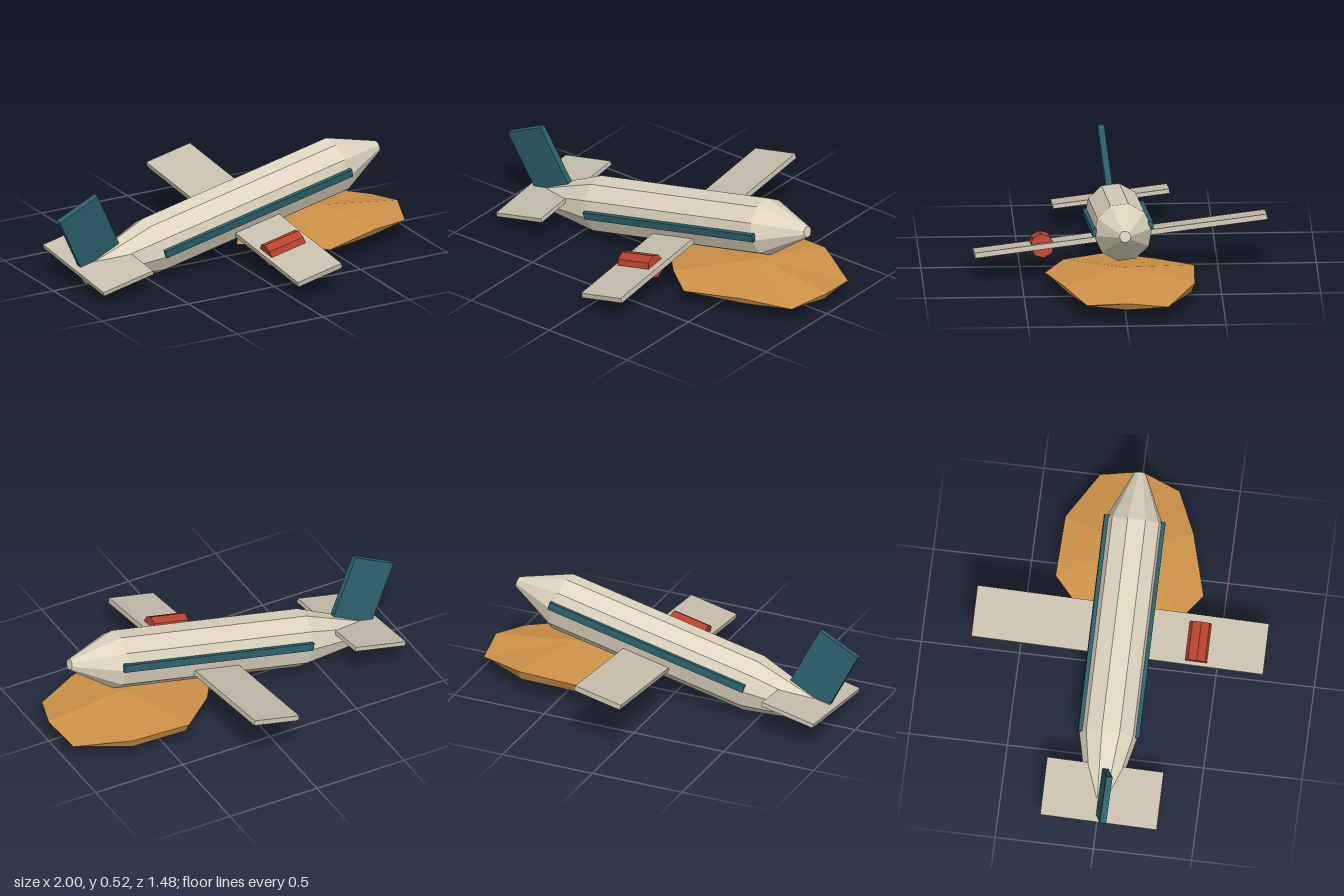
import * as THREE from 'three';

const mat = (color) => new THREE.MeshStandardMaterial({ color, flatShading: true });

export function createModel() {
  const model = new THREE.Group();
  model.name = 'crashedPlane';
  const cream = mat(0xdfd5c0), wingGrey = mat(0xc8bfae), teal = mat(0x2b5f6b);
  const red = mat(0xb8432f), sand = mat(0xcd9148);

  // Aircraft: nose pitched up along +x, rolled towards +z
  const plane = new THREE.Group();
  plane.name = 'plane';
  plane.position.set(0, 0.245, 0.005);
  plane.rotation.set(0.12, 0, 0.219, 'ZYX');
  model.add(plane);

  const add = (name, geometry, material, x, y, z) => {
    const mesh = new THREE.Mesh(geometry, material);
    mesh.name = name;
    mesh.position.set(x, y, z);
    plane.add(mesh);
    return mesh;
  };
  // Tapered prism along the aircraft's length, from x0 (radius r0) to x1 (radius r1)
  const barrel = (name, x0, r0, x1, r1, sides, material, y = 0, z = 0) => {
    const g = new THREE.CylinderGeometry(r1, r0, x1 - x0, sides).rotateZ(-Math.PI / 2);
    return add(name, g, material, (x0 + x1) / 2, y, z);
  };

  // Fuselage
  barrel('tailCone', -0.846, 0.052, -0.446, 0.148, 10, cream);
  barrel('fuselage', -0.446, 0.148, 0.646, 0.148, 10, cream);
  barrel('noseCone', 0.646, 0.148, 0.9, 0.029, 10, cream);

  // Side stripes
  for (const side of [1, -1]) {
    add(side > 0 ? 'leftStripe' : 'rightStripe',
      new THREE.BoxGeometry(1.11, 0.04, 0.024), teal, 0.108, 0.018, side * 0.144);
  }

  // Flying surfaces
  add('wing', new THREE.BoxGeometry(0.26, 0.027, 1.49), wingGrey, 0.1, -0.06, 0);
  add('tailplane', new THREE.BoxGeometry(0.295, 0.022, 0.595), wingGrey, -0.752, 0.052, 0);
  const fin = add('fin', new THREE.BoxGeometry(0.239, 0.33, 0.032), teal, -0.786, 0.234, 0);
  fin.rotation.z = 0.245;

  // Single remaining engine
  barrel('engine', -0.01, 0.061, 0.19, 0.061, 8, red, -0.06, 0.4);

  // Sand mound: uneven rim, shallow peak and a slightly inset flat base
  const rim = [
    [1.0, 0.125, 0], [0.93, 0.095, 0.2], [0.7, 0.12, 0.3], [0.385, 0.097, 0.39],
    [0.24, 0.12, 0.29], [0.03, 0.085, 0.06], [0.18, 0.1, -0.17], [0.39, 0.13, -0.365],
    [0.71, 0.135, -0.355], [0.97, 0.095, -0.21],
  ];
  const peak = [0.57, 0.18, 0];
  const centre = [0.57, 0.085, 0];
  const base = rim.map(([x, , z]) => [0.57 + (x - 0.57) * 0.95, 0.085, z * 0.95]);
  const positions = [];
  rim.forEach((p, i) => {
    const j = (i + 1) % rim.length;
    positions.push(...peak, ...rim[j], ...p);
    positions.push(...p, ...rim[j], ...base[j], ...p, ...base[j], ...base[i]);
    positions.push(...centre, ...base[i], ...base[j]);
  });
  const moundGeometry = new THREE.BufferGeometry();
  moundGeometry.setAttribute('position', new THREE.Float32BufferAttribute(positions, 3));
  moundGeometry.computeVertexNormals();
  const mound = new THREE.Mesh(moundGeometry, sand);
  mound.name = 'sandMound';
  model.add(mound);

  return model;
}
